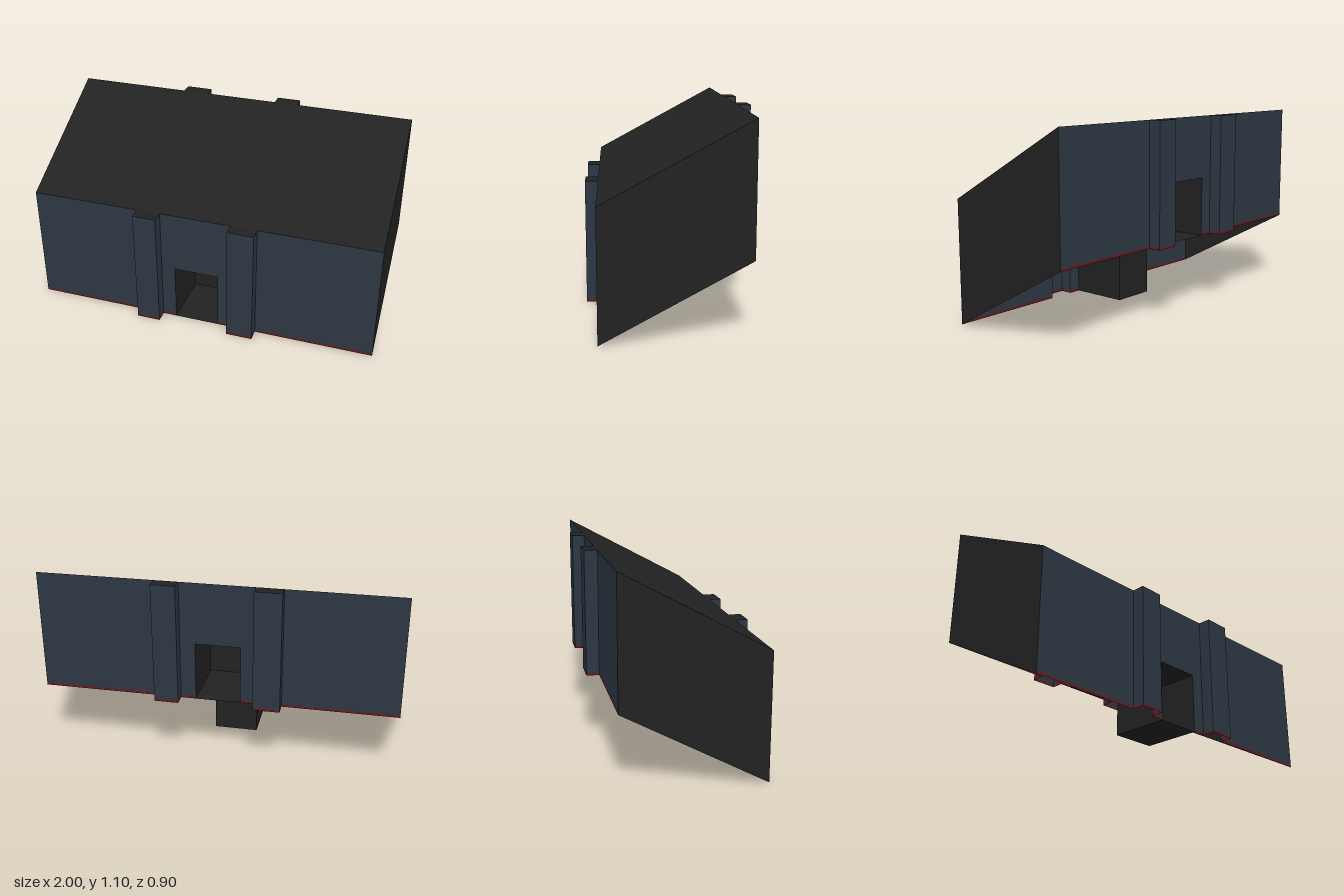
import * as THREE from 'three';

const mat = (name, color) => {
  const m = new THREE.MeshStandardMaterial({ color, side: THREE.DoubleSide, flatShading: true });
  m.name = name;
  return m;
};

// Mesh of four-cornered panels, corners anticlockwise seen from outside
function panels(name, material, quads) {
  const pos = [];
  for (const [a, b, c, d] of quads) pos.push(...a, ...b, ...c, ...a, ...c, ...d);
  const g = new THREE.BufferGeometry();
  g.setAttribute('position', new THREE.Float32BufferAttribute(pos, 3));
  g.computeVertexNormals();
  const mesh = new THREE.Mesh(g, material);
  mesh.name = name;
  return mesh;
}

const Z = 0.38, OUT = 0.45;      // wall plane and pillar face
const FRONT_TOP = 0.685, BACK_BASE = 0.413, BACK_TOP = 1.097;
const TRIM = 0.014, DOOR_H = 0.333;

export function createModel() {
  const dark = mat('charcoal', 0x222222);
  const blue = mat('slate blue', 0x2d3743);
  const red = mat('dark red', 0x661a1f);
  const model = new THREE.Group();
  model.name = 'building';

  // One long wall facing +z: hollow pillars, red base trim, recessed doorway
  function facade(name, height, pillars, door, depth) {
    const group = new THREE.Group();
    group.name = name;
    const [d0, d1] = door;
    const [[a0, a1], [b0, b1]] = pillars;
    const path = [[-1, Z], [a0, Z], [a0, OUT], [a1, OUT], [a1, Z], [d0, Z],
      [d1, Z], [b0, Z], [b0, OUT], [b1, OUT], [b1, Z], [1, Z]];
    const wall = [], trim = [];
    const strip = ([x0, z0], [x1, z1], y0, y1) =>
      [[x0, y0, z0], [x1, y0, z1], [x1, y1, z1], [x0, y1, z0]];
    for (let i = 0; i < path.length - 1; i++) {
      const isDoor = path[i][0] === d0;
      wall.push(strip(path[i], path[i + 1], isDoor ? DOOR_H : TRIM, height));
      if (!isDoor) trim.push(strip(path[i], path[i + 1], 0, TRIM));
    }
    const caps = pillars.map(([x0, x1]) =>
      [[x0, height, OUT], [x1, height, OUT], [x1, height, Z], [x0, height, Z]]);

    // Doorway recess: floor, ceiling, two sides and rear
    const r = Z - depth, h = DOOR_H;
    const recess = [
      [[d0, 0, Z], [d1, 0, Z], [d1, 0, r], [d0, 0, r]],
      [[d0, h, r], [d1, h, r], [d1, h, Z], [d0, h, Z]],
      [[d0, 0, Z], [d0, 0, r], [d0, h, r], [d0, h, Z]],
      [[d1, 0, r], [d1, 0, Z], [d1, h, Z], [d1, h, r]],
      [[d0, 0, r], [d1, 0, r], [d1, h, r], [d0, h, r]],
    ];
    group.add(
      panels('wallAndPillars', blue, wall),
      panels('baseTrim', red, trim),
      panels('pillarCaps', dark, caps),
      panels('doorRecess', dark, recess),
    );
    return group;
  }

  const front = facade('frontWall', FRONT_TOP,
    [[-0.37, -0.235], [0.175, 0.325]], [-0.155, 0.1], 0.337);
  const back = facade('backWall', BACK_TOP - BACK_BASE,
    [[-0.34, -0.205], [0.21, 0.36]], [-0.12, 0.13], 0.37);
  back.rotation.y = Math.PI;
  back.position.y = BACK_BASE;
  model.add(front, back);

  // Sloping roof
  model.add(panels('roof', dark, [
    [[-1, FRONT_TOP, Z], [1, FRONT_TOP, Z], [1, BACK_TOP, -Z], [-1, BACK_TOP, -Z]],
  ]));

  // Slanted end walls
  model.add(panels('leftWall', dark, [
    [[1, 0, Z], [1, BACK_BASE, -Z], [1, BACK_TOP, -Z], [1, FRONT_TOP, Z]],
  ]));
  model.add(panels('rightWall', dark, [
    [[-1, BACK_BASE, -Z], [-1, 0, Z], [-1, FRONT_TOP, Z], [-1, BACK_TOP, -Z]],
  ]));

  return model;
}
